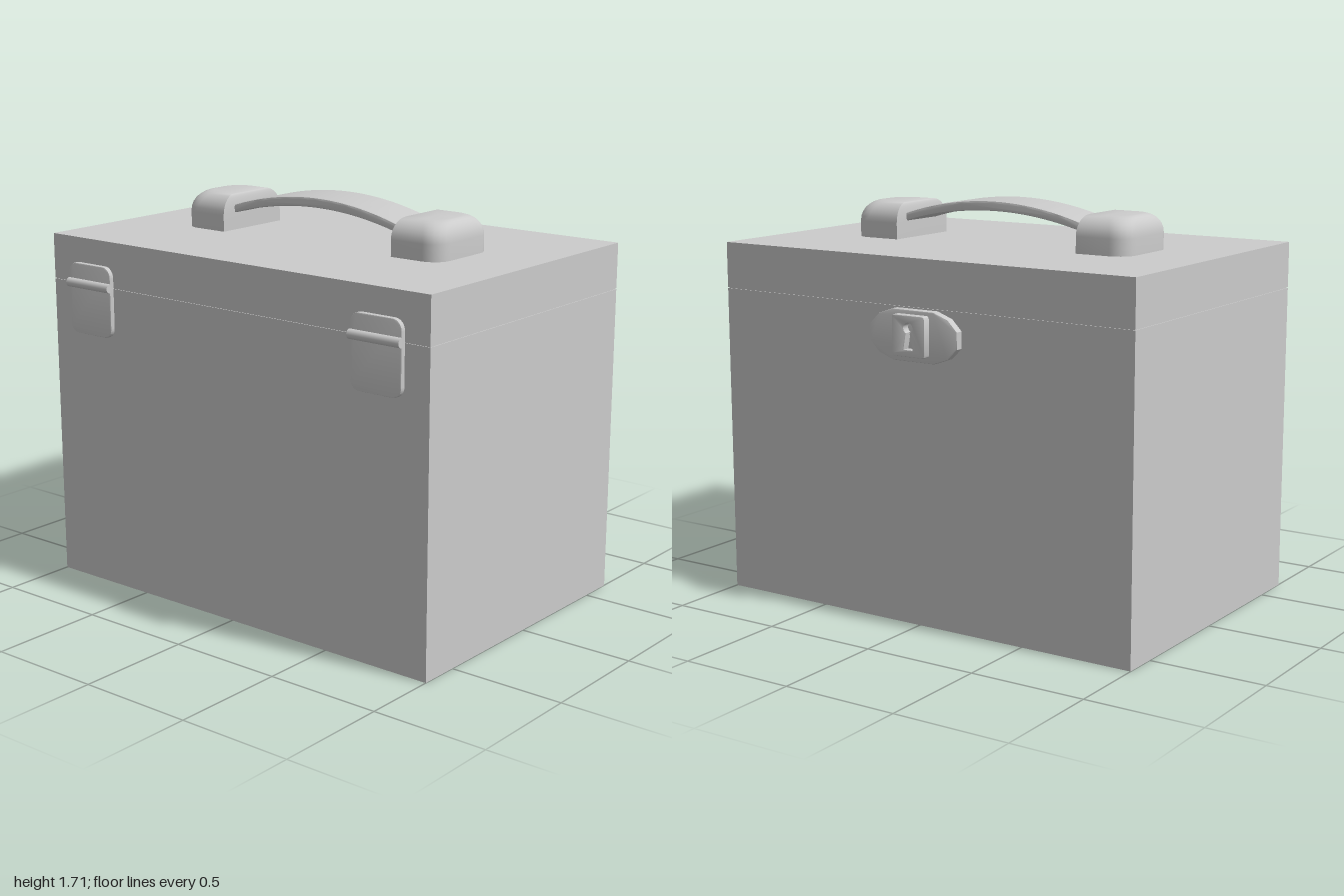
import * as THREE from 'three';
import { toCreasedNormals } from 'three/addons/utils/BufferGeometryUtils.js';

const material = new THREE.MeshStandardMaterial({ color: 0xcccccc });

function add(parent, name, geometry, x = 0, y = 0, z = 0) {
  const mesh = new THREE.Mesh(geometry, material);
  mesh.name = name;
  mesh.position.set(x, y, z);
  parent.add(mesh);
  return mesh;
}

// Box given by its minimum and maximum corners
function addBox(parent, name, [x0, y0, z0], [x1, y1, z1]) {
  return add(parent, name, new THREE.BoxGeometry(x1 - x0, y1 - y0, z1 - z0),
    (x0 + x1) / 2, (y0 + y1) / 2, (z0 + z1) / 2);
}

// Extrusion from z = 0 to z = depth; the bevel stays inside the outline
function plate(shape, depth, bevel) {
  const g = new THREE.ExtrudeGeometry(shape, {
    depth: depth - bevel, bevelEnabled: true, bevelThickness: bevel,
    bevelSize: bevel, bevelOffset: -bevel, bevelSegments: 2, curveSegments: 8,
  });
  return toCreasedNormals(g, 0.6);
}

function roundedRect(w, h, r) {
  const s = new THREE.Shape();
  const x = w / 2, y = h / 2;
  s.absarc(x - r, y - r, r, 0, Math.PI / 2);
  s.absarc(-x + r, y - r, r, Math.PI / 2, Math.PI);
  s.absarc(-x + r, -y + r, r, Math.PI, Math.PI * 1.5);
  s.absarc(x - r, -y + r, r, Math.PI * 1.5, Math.PI * 2);
  s.closePath();
  return s;
}

// Handle end: flat inner face at x = 0, domed top and rounded outer corners
function handleEndGeometry() {
  const layers = [{ y: 0, k: 0 }];
  for (let i = 0; i <= 7; i++) {
    const a = (i / 7) * Math.PI / 2;
    layers.push({ y: 0.07 + 0.085 * Math.sin(a), k: 1 - Math.cos(a) });
  }
  const pos = [], index = [], steps = 5, n = 2 * (steps + 1) + 2;
  for (const { y, k } of layers) {
    const h = 0.185 - 0.085 * k, inner = 0.015 * k, outer = 0.235 - 0.055 * k;
    const r = 0.08;
    pos.push(inner, y, -h);
    for (const side of [-1, 1]) {
      for (let j = 0; j <= steps; j++) {
        const t = (side < 0 ? j : steps - j) / steps * Math.PI / 2;
        pos.push(outer - r + r * Math.sin(t), y, side * (h - r + r * Math.cos(t)));
      }
    }
    pos.push(inner, y, h);
  }
  for (let l = 0; l < layers.length - 1; l++) {
    for (let j = 0; j < n; j++) {
      const a = l * n + j, b = l * n + (j + 1) % n;
      index.push(a, a + n, b, b, a + n, b + n);
    }
  }
  const top = (layers.length - 1) * n, centre = layers.length * n;
  pos.push(0.09, 0.155, 0);
  for (let j = 0; j < n; j++) index.push(centre, top + (j + 1) % n, top + j);
  const g = new THREE.BufferGeometry();
  g.setAttribute('position', new THREE.Float32BufferAttribute(pos, 3));
  g.setIndex(index);
  return toCreasedNormals(g, 0.7);
}

export function createModel() {
  const model = new THREE.Group();
  model.name = 'carryingCase';

  // Case body and lid with a fine recessed seam between them
  addBox(model, 'body', [-1, 0, -0.65], [1, 1.327, 0.675]);
  addBox(model, 'seam', [-0.996, 1.32, -0.646], [0.996, 1.34, 0.671]);
  addBox(model, 'lid', [-1, 1.331, -0.65], [1, 1.525, 0.675]);

  // Handle: arched strap held by two end pieces
  const handle = new THREE.Group();
  handle.name = 'handle';
  handle.position.z = 0.009;
  model.add(handle);
  const strap = new THREE.Shape();
  const N = 24, half = 0.48;
  for (let i = 0; i <= N; i++) {
    const x = -half + 2 * half * i / N;
    strap.lineTo(x, 1.666 - 0.066 * (x / 0.45) ** 2);
  }
  for (let i = N; i >= 0; i--) {
    const x = -half + 2 * half * i / N;
    strap.lineTo(x, 1.709 - 0.073 * (x / 0.45) ** 2);
  }
  strap.curves.shift(); // drop the segment from the origin
  const strapGeometry = new THREE.ExtrudeGeometry(strap, {
    depth: 0.21, bevelThickness: 0.008, bevelSize: 0.01, bevelOffset: -0.01, bevelSegments: 2,
  });
  add(handle, 'strap', toCreasedNormals(strapGeometry, 0.6), 0, 0, -0.105);
  const endGeometry = handleEndGeometry();
  add(handle, 'leftHandleEnd', endGeometry, 0.45, 1.525, 0);
  add(handle, 'rightHandleEnd', endGeometry, -0.452, 1.525, 0).rotation.y = Math.PI;

  // Hinges on the front: rounded leaf plate and a pin along the seam
  const leaf = plate(roundedRect(0.246, 0.306, 0.045), 0.02, 0.005);
  const pin = new THREE.CylinderGeometry(0.02, 0.02, 0.246, 16);
  pin.rotateZ(Math.PI / 2);
  for (const [side, x] of [['left', 0.76], ['right', -0.768]]) {
    const hinge = new THREE.Group();
    hinge.name = side + 'Hinge';
    hinge.position.set(x, 0, 0.675);
    add(hinge, 'hingeLeaf', leaf, 0, 1.265, 0);
    add(hinge, 'hingePin', pin, 0, 1.33, 0.02);
    model.add(hinge);
  }

  // Lock on the back, built facing +z and turned round
  const lock = new THREE.Group();
  lock.name = 'lock';
  lock.position.set(-0.003, 1.216, -0.65);
  lock.rotation.y = Math.PI;
  model.add(lock);
  const corner = [[0.215, 0.035], [0.17, 0.08], [0.1, 0.105]];
  const mirrored = [...corner].reverse();
  const outline = [
    ...corner, ...mirrored.map(([x, y]) => [-x, y]),
    ...corner.map(([x, y]) => [-x, -y]), ...mirrored.map(([x, y]) => [x, -y]),
  ].map(([x, y]) => new THREE.Vector2(x, y));
  add(lock, 'lockPlate', plate(new THREE.Shape(outline), 0.033, 0.006));

  // Lock face with a keyhole cut through it
  const face = roundedRect(0.16, 0.168, 0.012);
  const keyhole = new THREE.Path();
  keyhole.moveTo(-0.022, -0.055);
  keyhole.lineTo(0.022, -0.055);
  keyhole.lineTo(0.01, 0.013);
  keyhole.absarc(0, 0.032, 0.022, -1.1, Math.PI + 1.1);
  keyhole.closePath();
  face.holes.push(keyhole);
  add(lock, 'lockFace', plate(face, 0.034, 0.004), 0, 0.004, 0.032);

  return model;
}
